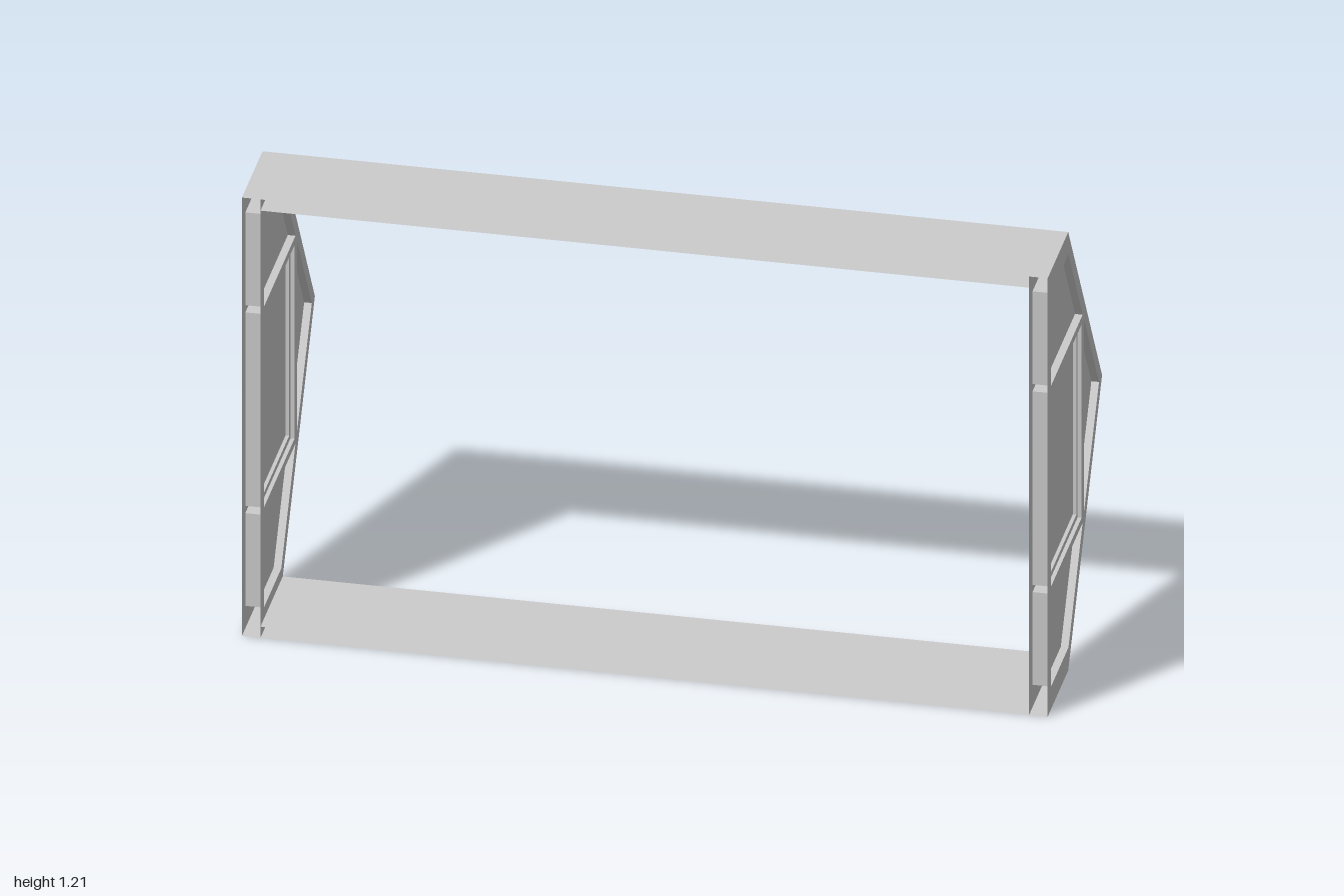
import * as THREE from 'three';

const material = new THREE.MeshStandardMaterial({ color: 0xcccccc, side: THREE.DoubleSide, flatShading: true });
const FRONT = 0.32, HEIGHT = 1.21, MID = HEIGHT / 2, WALL = 0.046;

// outlines are [z, y] pairs; the shape lies in the side plane
const toPoints = (outline) => outline.map(([z, y]) => new THREE.Vector2(-z, y));
const flip = (outline) => outline.map(([z, y]) => [z, HEIGHT - y]);

// extrudes a side outline along x, centred on cx
function slab(name, outline, width, cx, holes = [], openFront = false) {
  const shape = new THREE.Shape(toPoints(outline));
  holes.forEach((h) => shape.holes.push(new THREE.Path(toPoints(h))));
  let geometry = new THREE.ExtrudeGeometry(shape, { depth: width, bevelEnabled: false });
  geometry.rotateY(Math.PI / 2).translate(cx - width / 2, 0, 0);
  if (openFront) geometry = removeFront(geometry);
  const mesh = new THREE.Mesh(geometry, material);
  mesh.name = name;
  return mesh;
}

// drops the triangles on the front plane, leaving a hollow section
function removeFront(geometry) {
  const p = geometry.attributes.position;
  const kept = [];
  for (let i = 0; i < p.count; i += 3) {
    if ([0, 1, 2].every((k) => p.getZ(i + k) > FRONT - 1e-4)) continue;
    for (let k = 0; k < 3; k++) kept.push(p.getX(i + k), p.getY(i + k), p.getZ(i + k));
  }
  const result = new THREE.BufferGeometry();
  result.setAttribute('position', new THREE.Float32BufferAttribute(kept, 3));
  result.computeVertexNormals();
  return result;
}

const rect = (z0, z1, y0, y1) => [[z0, y0], [z1, y0], [z1, y1], [z0, y1]];

export function createModel() {
  const model = new THREE.Group();
  model.name = 'bayFrame';

  const outline = [[FRONT, 0], [0.078, 0], [-0.32, MID], [0.078, HEIGHT], [FRONT, HEIGHT]];
  const lower = [[0.28, 0.062], [0.075, 0.062], [-0.092, 0.318], [0.28, 0.318]];
  const upper = flip(lower);
  const centre = rect(0.28, -0.08, 0.338, 0.872);
  const sashHole = rect(0.266, -0.066, 0.353, 0.857);
  const rear = [[-0.107, 0.338], [-0.284, MID], [-0.107, 0.872]];

  // end walls with recessed panels
  for (const side of [1, -1]) {
    const cx = side * (1 - WALL / 2);
    const end = new THREE.Group();
    end.name = side > 0 ? 'leftEnd' : 'rightEnd';
    end.add(
      slab('endFrame', outline, WALL, cx, [lower, upper, centre, rear], true),
      slab('lowerPanel', lower, 0.008, cx),
      slab('upperPanel', upper, 0.008, cx),
      slab('rearPanel', rear, 0.008, cx),
      slab('sash', centre, 0.026, cx, [sashHole]),
      slab('sashPanel', sashHole, 0.008, cx)
    );
    model.add(end);
  }

  // long hollow beams with slanted backs
  const beam = [[FRONT, 0], [0.078, 0], [0.058, 0.031], [FRONT, 0.031]];
  const span = 2 - 2 * WALL;
  model.add(
    slab('bottomBeam', beam, span, 0, [], true),
    slab('topBeam', flip(beam), span, 0, [], true)
  );
  return model;
}
